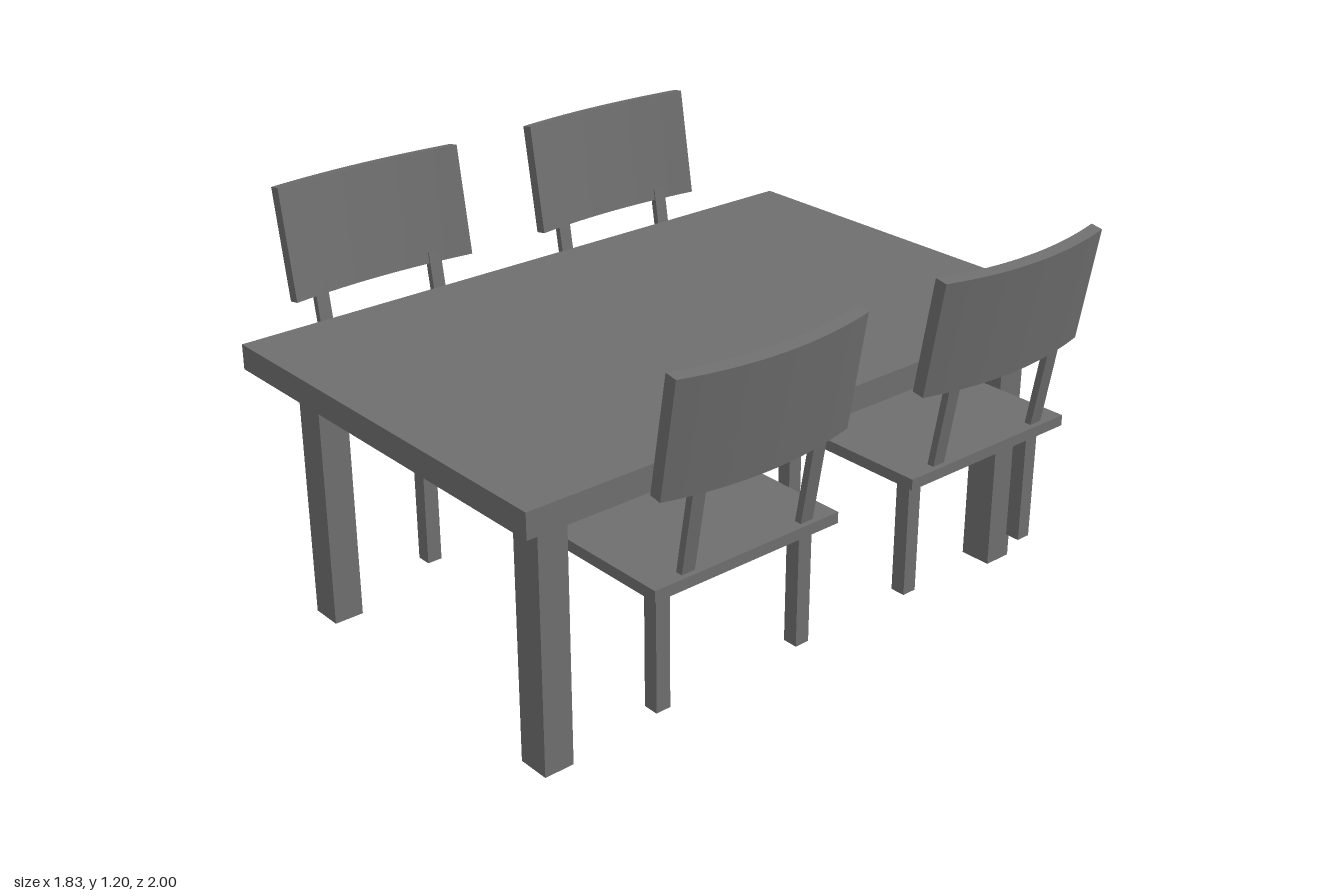
import * as THREE from 'three';

const material = new THREE.MeshStandardMaterial({ color: 0x6e6e6e, side: THREE.DoubleSide });

function add(parent, name, geometry) {
  const mesh = new THREE.Mesh(geometry, material);
  mesh.name = name;
  parent.add(mesh);
  return mesh;
}

// Box given by its lower and upper corners
function box(parent, name, [x0, y0, z0], [x1, y1, z1]) {
  const g = new THREE.BoxGeometry(x1 - x0, y1 - y0, z1 - z0);
  g.translate((x0 + x1) / 2, (y0 + y1) / 2, (z0 + z1) / 2);
  return add(parent, name, g);
}

// Remove faces from a box: 6 indices per side, in the order +x -x +y -y +z -z
function open(mesh, firstSide, sides) {
  const index = Array.from(mesh.geometry.index.array);
  index.splice(firstSide * 6, sides * 6);
  mesh.geometry.setIndex(index);
  mesh.geometry.clearGroups();
}

// Slab that is hollow underneath
function slab(parent, name, low, high) {
  open(box(parent, name, low, high), 3, 1);
}

// Square hollow leg without top and bottom faces
function leg(parent, name, x, z, w, d, y0, y1) {
  open(box(parent, name, [x - w / 2, y0, z - d / 2], [x + w / 2, y1, z + d / 2]), 2, 2);
}

// Shift x in proportion to height so a part leans backwards
const LEAN = 0.17;
function lean(geometry, yBase) {
  const p = geometry.attributes.position;
  for (let i = 0; i < p.count; i++) p.setX(i, p.getX(i) + (p.getY(i) - yBase) * LEAN);
  geometry.computeVertexNormals();
}

// Curved back panel: hollow towards the sitter, leaning outwards
function backrest(parent) {
  const half = 0.307, sag = 0.037, height = 0.332;
  const g = new THREE.BoxGeometry(0.037, height, half * 2, 1, 1, 16);
  const p = g.attributes.position;
  for (let i = 0; i < p.count; i++) {
    const t = p.getZ(i) / half;
    const bulge = sag * (1 - t * t);
    // top and bottom stay square to the leaning face
    p.setY(i, p.getY(i) - (p.getX(i) + bulge) * LEAN);
    p.setX(i, p.getX(i) + bulge);
  }
  g.translate(0.304, 0.868 + height / 2, 0);
  lean(g, 0.868);
  add(parent, 'backrest', g);
}

// Chair with its back towards +x, centred on its seat
function chair(name) {
  const group = new THREE.Group();
  group.name = name;
  slab(group, 'seat', [-0.302, 0.588, -0.307], [0.302, 0.62, 0.307]);
  for (const x of [-0.23, 0.23])
    for (const z of [-0.24, 0.24]) leg(group, 'chairLeg', x, z, 0.045, 0.045, 0.23, 0.62);
  for (const z of [-0.21, 0.188]) {
    const post = box(group, 'backPost', [0.265, 0.62, z - 0.021], [0.286, 0.9, z + 0.021]);
    lean(post.geometry, 0.62);
  }
  backrest(group);
  return group;
}

export function createModel() {
  const model = new THREE.Group();
  model.name = 'diningSet';

  // Table
  const table = new THREE.Group();
  table.name = 'table';
  model.add(table);
  slab(table, 'tableTop', [-0.68, 0.77, -1], [0.625, 0.845, 1]);
  for (const x of [-0.524, 0.476])
    for (const z of [-0.85, 0.85]) leg(table, 'tableLeg', x, z, 0.1, 0.092, 0, 0.845);

  // Two chairs on each long side, facing the table
  for (const z of [-0.44, 0.45]) {
    const left = chair('leftChair');
    left.position.set(0.499, 0, z);
    const right = chair('rightChair');
    right.position.set(-0.501, 0, z);
    right.rotation.y = Math.PI;
    model.add(left, right);
  }
  return model;
}
